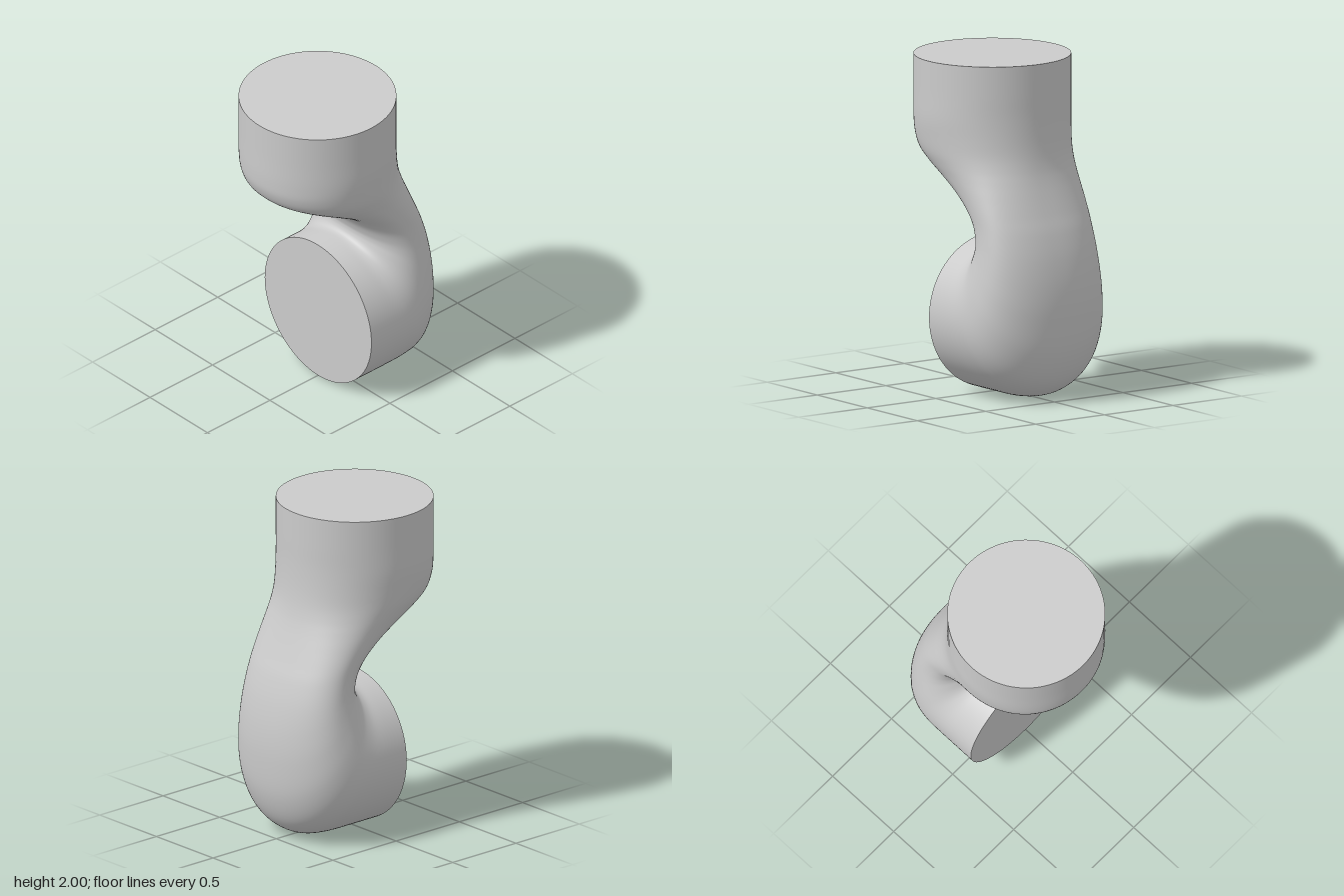
import * as THREE from 'three';

// Cross-sections from the top opening, through the neck, to the front opening:
// inner z, inner y, outer z, outer y, half width, roundness exponent (2 = ellipse)
const SECTIONS = [
  [0.585, 2.0, -0.345, 2.0, 0.465, 2],
  [0.585, 1.8, -0.345, 1.82, 0.465, 2],
  [0.585, 1.63, -0.345, 1.68, 0.465, 2],
  [0.573, 1.53, -0.35, 1.55, 0.455, 2.05],
  [0.53, 1.452, -0.36, 1.45, 0.443, 2.1],
  [0.43, 1.387, -0.375, 1.37, 0.425, 2.2],
  [0.3, 1.32, -0.395, 1.3, 0.408, 2.3],
  [0.15, 1.24, -0.425, 1.215, 0.395, 2.35],
  [0.02, 1.15, -0.465, 1.11, 0.387, 2.35],
  [-0.05, 1.07, -0.508, 1.0, 0.385, 2.3],
  [-0.077, 1.01, -0.55, 0.85, 0.393, 2.25],
  [-0.08, 0.98, -0.577, 0.68, 0.407, 2.2],
  [-0.074, 0.957, -0.583, 0.5, 0.424, 2.2],
  [-0.064, 0.943, -0.565, 0.29, 0.443, 2.15],
  [-0.052, 0.935, -0.505, 0.125, 0.456, 2.1],
  [-0.035, 0.931, -0.41, 0.035, 0.463, 2.05],
  [-0.01, 0.93, -0.28, 0.004, 0.465, 2],
  [0.04, 0.93, -0.1, 0, 0.465, 2],
  [0.115, 0.93, 0.115, 0, 0.465, 2],
];
const AROUND = 96;
const ALONG = 108;

const curve = (pick) => new THREE.CatmullRomCurve3(SECTIONS.map(pick), false, 'catmullrom', 0.5);
const power = (v, e) => Math.sign(v) * Math.pow(Math.abs(v), e);

// Smooth skin lofted through the sections
function loft() {
  const inner = curve((s) => new THREE.Vector3(0, s[1], s[0]));
  const outer = curve((s) => new THREE.Vector3(0, s[3], s[2]));
  const form = curve((s) => new THREE.Vector3(s[4], s[5], 0));
  const positions = [];
  const index = [];
  for (let i = 0; i <= ALONG; i++) {
    const t = i / ALONG;
    const p = inner.getPoint(t);
    const q = outer.getPoint(t);
    const f = form.getPoint(t);
    const centre = p.clone().add(q).multiplyScalar(0.5);
    const axis = p.clone().sub(centre);
    for (let j = 0; j < AROUND; j++) {
      const a = (j / AROUND) * Math.PI * 2;
      const c = power(Math.cos(a), 2 / f.y);
      const s = power(Math.sin(a), 2 / f.y);
      positions.push(f.x * s, centre.y + axis.y * c, centre.z + axis.z * c);
      if (i < ALONG) {
        const k = (j + 1) % AROUND;
        const r = i * AROUND;
        const n = r + AROUND;
        index.push(r + j, n + j, r + k, r + k, n + j, n + k);
      }
    }
  }
  const geometry = new THREE.BufferGeometry();
  geometry.setAttribute('position', new THREE.Float32BufferAttribute(positions, 3));
  geometry.setIndex(index);
  geometry.computeVertexNormals();
  return geometry;
}

export function createModel() {
  const group = new THREE.Group();
  group.name = 'bentPipe';
  const material = new THREE.MeshStandardMaterial({ color: 0xcccccc });
  const add = (name, geometry) => {
    const mesh = new THREE.Mesh(geometry, material);
    mesh.name = name;
    group.add(mesh);
    return mesh;
  };

  add('pipeBody', loft());

  // Flat discs closing both ends
  const disc = new THREE.CircleGeometry(0.465, AROUND);
  const top = add('topCap', disc);
  top.rotation.x = -Math.PI / 2;
  top.position.set(0, 2, 0.12);
  add('frontCap', disc).position.set(0, 0.465, 0.115);

  return group;
}
